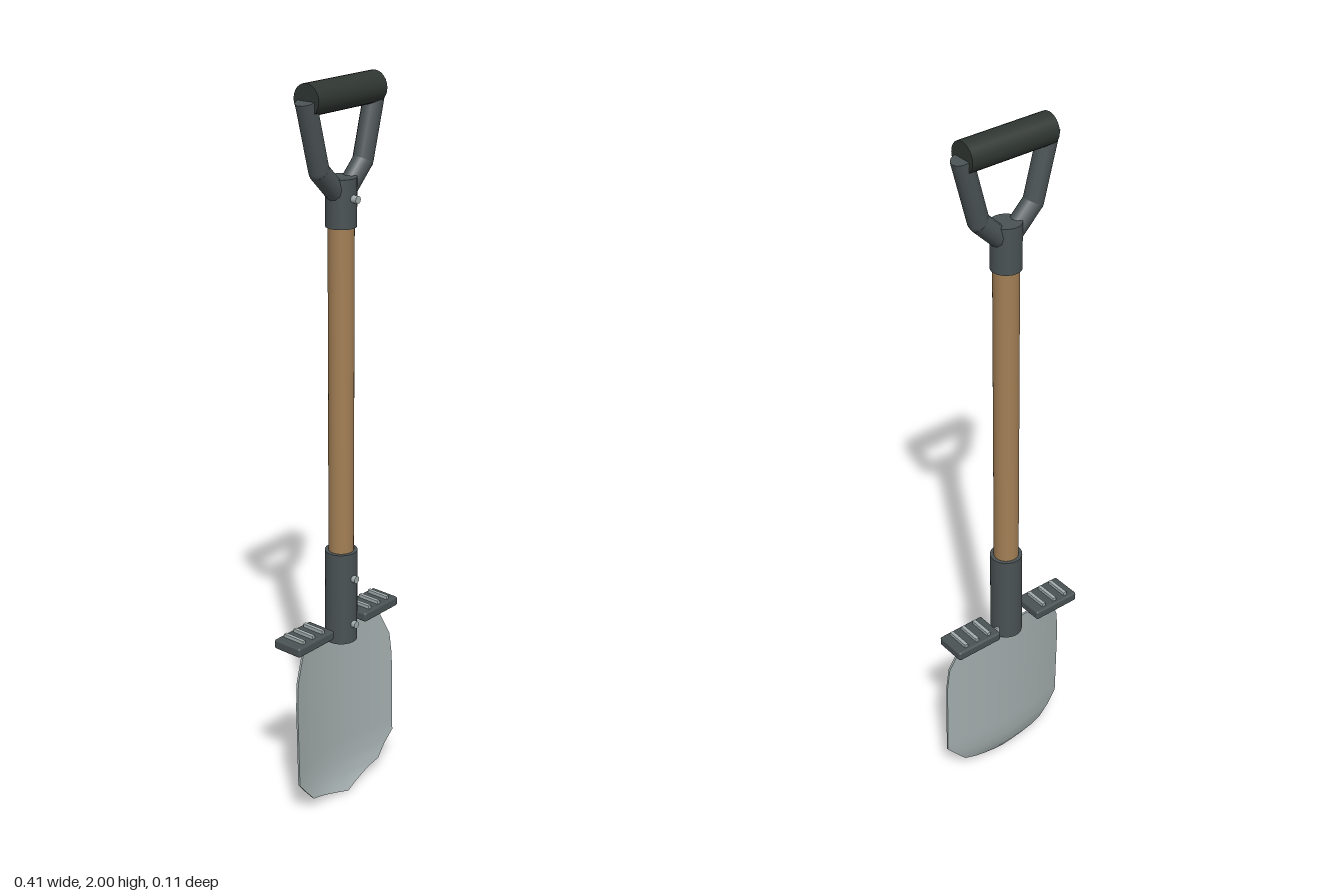
import * as THREE from 'three';
import { RoundedBoxGeometry } from 'three/addons/geometries/RoundedBoxGeometry.js';
import { toCreasedNormals } from 'three/addons/utils/BufferGeometryUtils.js';

const paint = (color) => new THREE.MeshStandardMaterial({ color });
const wood = paint(0xa37f55);
const iron = paint(0x4a5254);
const rubber = paint(0x2f3632);
const steel = paint(0xa3adad);

// Piecewise-linear lookup through [input, output] pairs
function lerpTable(table, t) {
  for (let i = 1; i < table.length; i++) {
    const [a, va] = table[i - 1], [b, vb] = table[i];
    if (t <= b) return va + (vb - va) * Math.max(0, (t - a) / (b - a));
  }
  return table[table.length - 1][1];
}

// Dished blade: each column is a closed loop up the front and down the back
function bladeGeometry() {
  const bottom = [[0, 0], [0.14, 0.04], [0.2, 0.11]];
  const top = [[0, 0.515], [0.15, 0.515], [0.193, 0.42], [0.2, 0.35]];
  const spine = [[0, 0.024], [0.03, 0.006], [0.07, -0.005], [0.12, -0.01], [0.5, -0.018]];
  const half = [0, 0.035, 0.07, 0.105, 0.14, 0.15, 0.17, 0.193, 0.2];
  const xs = [...half.slice(1).reverse().map((x) => -x), ...half];
  const rows = 20, loop = rows * 2 + 2, thick = 0.006;
  const pos = [], idx = [];
  for (const x of xs) {
    const a = Math.abs(x), lo = lerpTable(bottom, a), hi = lerpTable(top, a);
    for (let k = 0; k < loop; k++) {
      const front = k <= rows;
      const t = (front ? k : loop - 1 - k) / rows;
      const y = lo + (hi - lo) * t ** 1.4;
      const z = lerpTable(spine, y) + 0.03 * (a / 0.2) ** 2;
      pos.push(x, y, z + (front ? thick / 2 : -thick / 2));
    }
  }
  for (let i = 0; i < xs.length - 1; i++) {
    for (let k = 0; k < loop; k++) {
      const a = i * loop + k, b = i * loop + (k + 1) % loop;
      idx.push(a, a + loop, b, b, a + loop, b + loop);
    }
  }
  // Thin side edges
  const last = (xs.length - 1) * loop;
  for (let k = 0; k < rows; k++) {
    const m = loop - 1 - k;
    idx.push(k, k + 1, m, m, k + 1, m - 1);
    idx.push(last + k, last + m, last + k + 1, last + m, last + m - 1, last + k + 1);
  }
  const g = new THREE.BufferGeometry();
  g.setAttribute('position', new THREE.Float32BufferAttribute(pos, 3));
  g.setIndex(idx);
  return toCreasedNormals(g, 0.7);
}

export function createModel() {
  const model = new THREE.Group();
  model.name = 'spade';

  const add = (name, geometry, material, x = 0, y = 0, z = 0) => {
    const m = new THREE.Mesh(geometry, material);
    m.name = name;
    m.position.set(x, y, z);
    model.add(m);
    return m;
  };
  const post = (name, r, y0, y1, material) =>
    add(name, new THREE.CylinderGeometry(r, r, y1 - y0, 24), material, 0, (y0 + y1) / 2);
  const rod = (name, a, b, r) => {
    const d = b.clone().sub(a);
    const m = add(name, new THREE.CylinderGeometry(r, r, d.length(), 12), iron);
    m.position.copy(a).addScaledVector(d, 0.5);
    m.quaternion.setFromUnitVectors(new THREE.Vector3(0, 1, 0), d.normalize());
  };

  // Shaft with its two metal sleeves
  post('shaft', 0.034, 0.6, 1.66, wood);
  post('handleCollar', 0.04, 1.63, 1.755, iron);
  post('bladeSocket', 0.044, 0.48, 0.745, iron);

  // Rivets on the front of the sleeves
  for (const y of [1.705, 0.67, 0.535]) {
    add('rivet', new THREE.CylinderGeometry(0.01, 0.01, 0.022, 12), steel, 0, y, 0.044).rotation.x = Math.PI / 2;
  }

  // D-handle: grip and bent arms
  add('grip', new THREE.CylinderGeometry(0.04, 0.04, 0.256, 24), rubber, 0, 1.96).rotation.z = Math.PI / 2;
  for (const s of [-1, 1]) {
    const knee = new THREE.Vector3(s * 0.083, 1.782, 0);
    rod('upperArm', knee, new THREE.Vector3(s * 0.13, 1.957, 0), 0.027);
    rod('lowerArm', new THREE.Vector3(0, 1.7, 0), knee, 0.027);
    add('armKnee', new THREE.SphereGeometry(0.027, 12, 8), iron, knee.x, knee.y, 0);

    // Foot step with grip ribs
    add('footStep', new RoundedBoxGeometry(0.142, 0.027, 0.09, 2, 0.006), iron, s * 0.136, 0.522, -0.013);
    for (const x of [0.098, 0.137, 0.175]) {
      add('stepRib', new THREE.BoxGeometry(0.01, 0.012, 0.067), steel, s * x, 0.539, -0.013);
    }
  }

  add('blade', bladeGeometry(), steel);
  return model;
}
